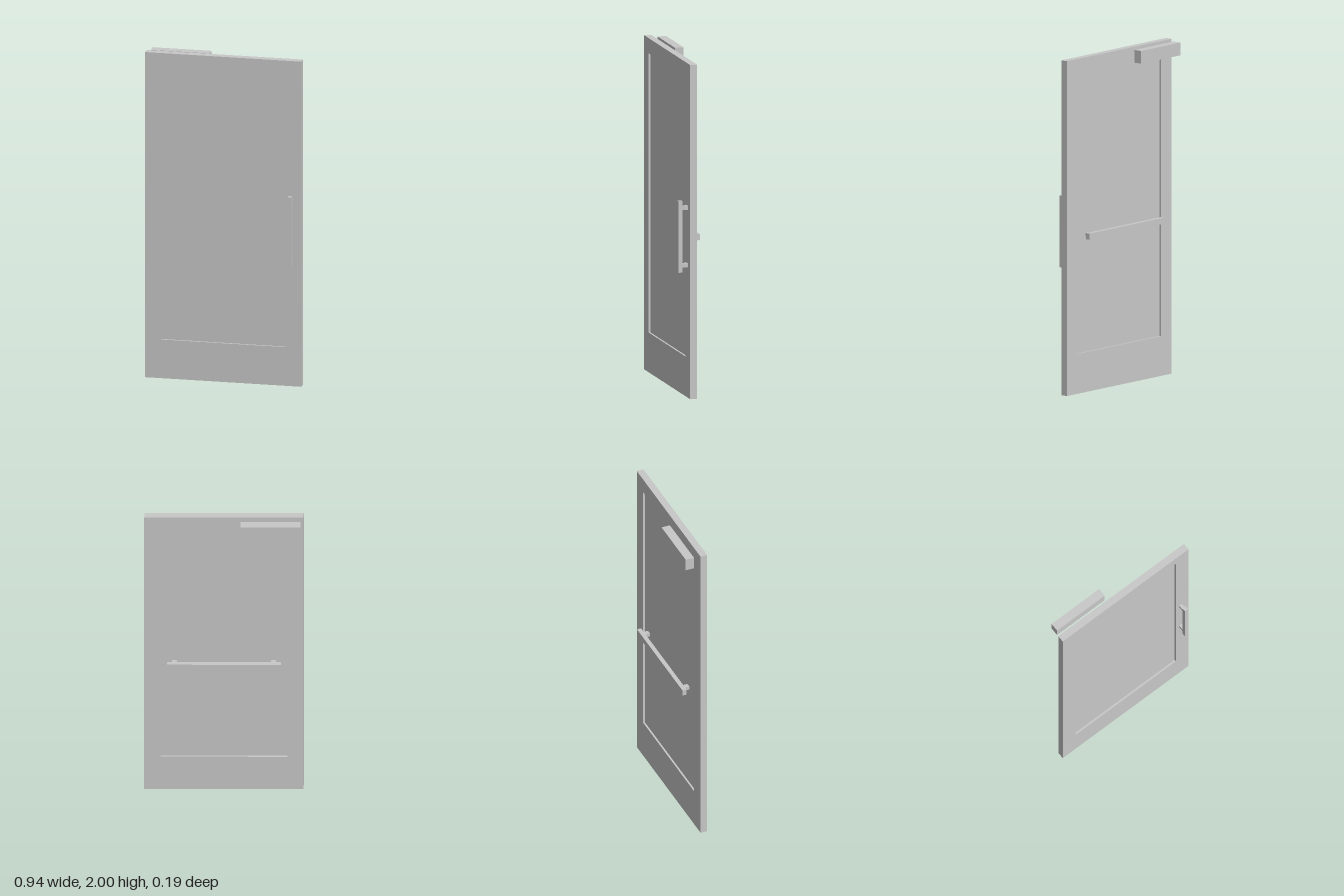
import * as THREE from 'three';

export function createModel() {
  const model = new THREE.Group();
  model.name = 'door';
  const grey = new THREE.MeshStandardMaterial({ color: 0xc8c8c8, side: THREE.DoubleSide });
  grey.name = 'grey';

  // Box given by its min and max on each axis
  const box = (name, [x0, x1], [y0, y1], [z0, z1], parent = model) => {
    const mesh = new THREE.Mesh(new THREE.BoxGeometry(x1 - x0, y1 - y0, z1 - z0), grey);
    mesh.position.set((x0 + x1) / 2, (y0 + y1) / 2, (z0 + z1) / 2);
    mesh.name = name;
    parent.add(mesh);
    return mesh;
  };
  const group = (name) => {
    const g = new THREE.Group();
    g.name = name;
    model.add(g);
    return g;
  };
  // Drop the underside of a box (its fourth face), leaving a hollow section
  const openBelow = ({ geometry }) => {
    const index = Array.from(geometry.index.array);
    index.splice(18, 6);
    geometry.setIndex(index);
    geometry.clearGroups();
  };

  // Frame: two stiles, top rail and a deep bottom rail, hollow from below
  const W = 0.468, IN = 0.374, BACK = -0.007, FRONT = 0.036;
  const frame = group('frame');
  openBelow(box('leftStile', [IN, W], [0, 2], [BACK, FRONT], frame));
  openBelow(box('rightStile', [-W, -IN], [0, 2], [BACK, FRONT], frame));
  openBelow(box('bottomRail', [-IN, IN], [0, 0.238], [BACK, FRONT], frame));
  box('topRail', [-IN, IN], [1.909, 2], [BACK, FRONT], frame);

  // Panel recessed on both faces
  box('panel', [-IN, IN], [0.238, 1.909], [0.004, 0.025]);

  // Upright pull handle on the front
  const pull = group('pullHandle');
  box('pullBar', [0.397, 0.421], [0.751, 1.179], [0.07, 0.093], pull);
  for (const y of [0.793, 1.137])
    box('pullPost', [0.399, 0.419], [y - 0.012, y + 0.012], [FRONT, 0.07], pull);

  // Horizontal push bar on the back
  const push = group('pushBar');
  box('bar', [-0.334, 0.334], [0.921, 0.958], [-0.064, -0.038], push);
  for (const x of [-0.29, 0.29])
    box('pushPost', [x - 0.014, x + 0.014], [0.929, 0.951], [-0.038, BACK], push);

  // Door closer near the top of the back
  box('closer', [-0.45, -0.096], [1.915, 1.991], [-0.094, -0.041]);

  return model;
}
